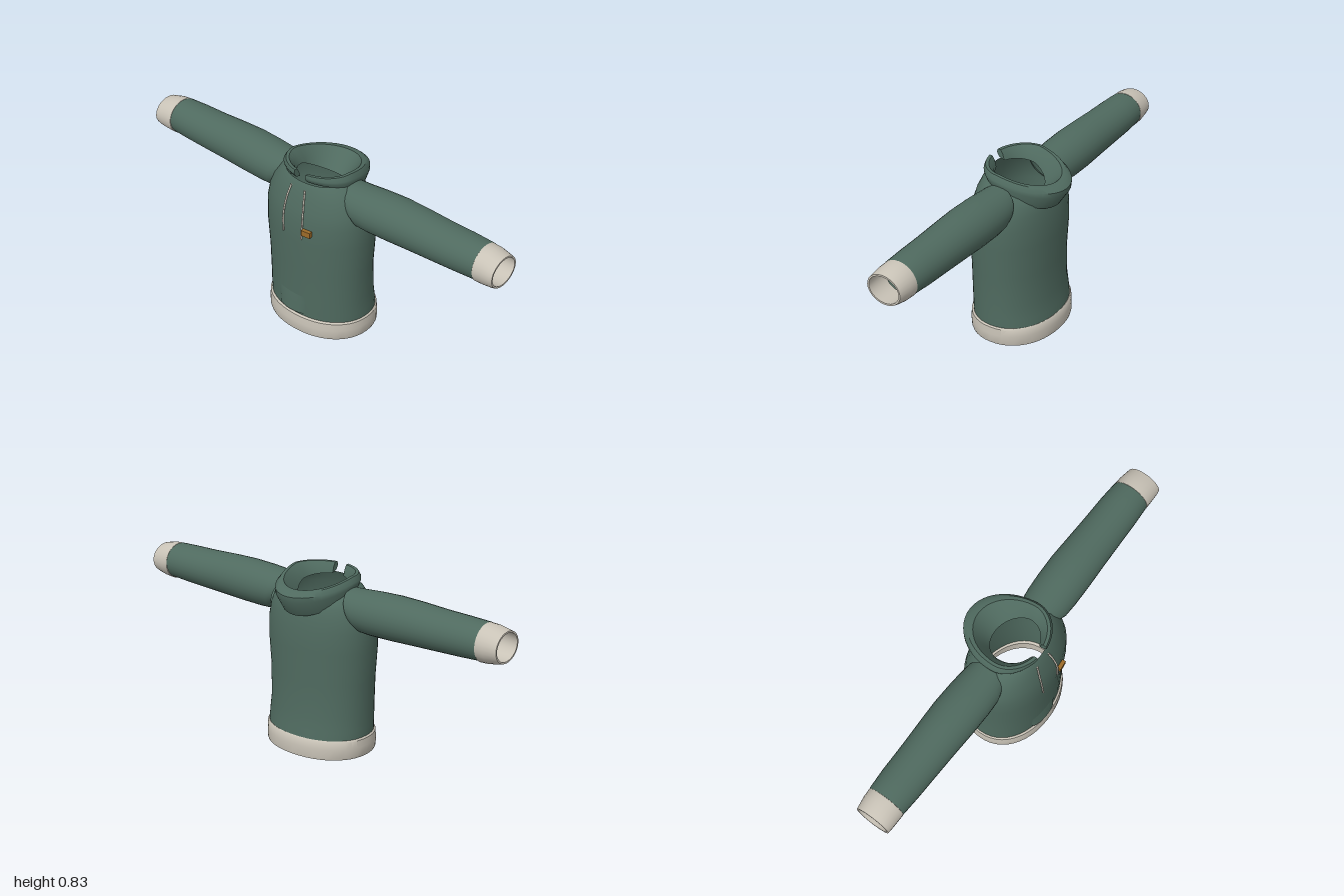
import * as THREE from 'three';
import { toCreasedNormals } from 'three/addons/utils/BufferGeometryUtils.js';

const material = (name, color) =>
  new THREE.MeshStandardMaterial({ name, color, side: THREE.DoubleSide });

// Skin a list of rings (arrays of Vector3 of equal length); crease keeps hard edges
function loft(rings, { closed = true, crease = 0 } = {}) {
  const n = rings[0].length, index = [];
  const cols = closed ? n : n - 1;
  for (let i = 0; i < rings.length - 1; i++) {
    for (let j = 0; j < cols; j++) {
      const a = i * n + j, b = i * n + (j + 1) % n;
      index.push(a, b, b + n, a, b + n, a + n);
    }
  }
  const geo = new THREE.BufferGeometry().setFromPoints(rings.flat());
  geo.setIndex(index);
  geo.computeVertexNormals();
  return crease ? toCreasedNormals(geo, crease) : geo;
}

// Torso sections: y, half width, back z, front z, drop at the nape
const TORSO = [
  [0.07, 0.262, -0.19, 0.207, 0], [0.13, 0.262, -0.182, 0.208, 0],
  [0.2, 0.259, -0.172, 0.21, 0], [0.35, 0.262, -0.166, 0.211, 0],
  [0.5, 0.272, -0.172, 0.218, 0], [0.6, 0.272, -0.168, 0.214, 0],
  [0.66, 0.262, -0.158, 0.202, 0], [0.72, 0.238, -0.15, 0.186, 0.02],
  [0.765, 0.202, -0.138, 0.168, 0.05], [0.783, 0.168, -0.11, 0.157, 0.075],
];

const power = (v, e) => Math.sign(v) * Math.abs(v) ** e;

// Slightly squared oval ring lying flat; angle 0 faces the front
function ovalPoint([y, rx, back, front, drop = 0], t, out = 0) {
  const c = Math.cos(t), mid = (front + back) / 2;
  return new THREE.Vector3(
    power(Math.sin(t), 0.93) * (rx + out),
    y - drop * Math.max(0, -c) ** 1.5,
    mid + power(c, 0.93) * ((front - back) / 2 + out));
}
const ovalRing = (section, n = 48) =>
  Array.from({ length: n }, (_, i) => ovalPoint(section, (i / n) * Math.PI * 2));

// Torso section interpolated at a height
function sectionAt(y) {
  let i = 0;
  while (i < TORSO.length - 2 && TORSO[i + 1][0] < y) i++;
  const f = (y - TORSO[i][0]) / (TORSO[i + 1][0] - TORSO[i][0]);
  return TORSO[i].map((v, k) => THREE.MathUtils.lerp(v, TORSO[i + 1][k], f));
}
function onChest(x, y, out) {
  const s = sectionAt(y);
  return ovalPoint(s, Math.asin(power(x / s[1], 1 / 0.93)), out);
}

// Sleeve ring: x, bottom y, top y, back z, front z, and slant of the armhole
const sleeveRing = (side, [x, y0, y1, z0, z1, slant = 0]) =>
  Array.from({ length: 28 }, (_, i) => {
    const t = (i / 28) * Math.PI * 2, s = Math.sin(t);
    return new THREE.Vector3(
      side * (x + slant * (1 - s) / 2),
      (y0 + y1) / 2 + s * (y1 - y0) / 2,
      (z0 + z1) / 2 + Math.cos(t) * (z1 - z0) / 2);
  });

// Lowered hood: a thick section swept round the neck, open at the throat
function hoodGeometry() {
  // each corner: front z, front y, side x, side y, back z, back y
  const corners = [
    [0.13, 0.782, 0.116, 0.765, -0.088, 0.705],
    [0.138, 0.81, 0.13, 0.8, -0.12, 0.735],
    [0.15, 0.829, 0.158, 0.831, -0.178, 0.788],
    [0.165, 0.83, 0.172, 0.83, -0.205, 0.785],
    [0.17, 0.815, 0.186, 0.808, -0.227, 0.765],
    [0.166, 0.805, 0.187, 0.795, -0.225, 0.738],
    [0.157, 0.792, 0.18, 0.772, -0.18, 0.667],
  ];
  const steps = 44, start = 0.19, zs = 0.02, rings = [];
  for (let i = 0; i <= steps; i++) {
    const t = start + (i / steps) * (Math.PI * 2 - start * 2);
    const c = Math.cos(t), w = Math.abs(c);
    rings.push(corners.map(([fz, fy, sx, sy, bz, by]) => new THREE.Vector3(
      sx * Math.sin(t),
      THREE.MathUtils.lerp(sy, c > 0 ? fy : by, w),
      zs + w * ((c > 0 ? fz : bz) - zs))));
  }
  // straight throat edges, closed by collapsing the end rings
  [[rings[0], 1], [rings[steps], -1]].forEach(([r, s]) => r.forEach(p => { p.x = 0.032 * s; }));
  const cap = ring => {
    const mid = ring.reduce((m, p) => m.add(p), new THREE.Vector3()).divideScalar(ring.length);
    return ring.map(() => mid.clone());
  };
  return loft([cap(rings[0]), ...rings, cap(rings[steps])], { crease: 0.8 });
}

export function createModel() {
  const model = new THREE.Group();
  model.name = 'hoodedPullover';
  const green = material('greenCloth', 0x4f6a5f);
  const cream = material('creamRibbing', 0xc9c3b7);
  const amber = material('amberTag', 0x9c6a28);
  const add = (name, geo, mat) => {
    const mesh = new THREE.Mesh(geo, mat);
    mesh.name = name;
    model.add(mesh);
    return mesh;
  };

  add('torso', loft(TORSO.map(s => ovalRing(s))), green);
  add('hood', hoodGeometry(), green);

  // Ribbed hem with an inner wall
  add('hem', loft([
    [0.085, 0.25, -0.178, 0.197], [0.003, 0.256, -0.186, 0.206],
    [0, 0.266, -0.198, 0.217], [0.01, 0.27, -0.2, 0.22], [0.05, 0.271, -0.199, 0.221],
    [0.085, 0.269, -0.196, 0.217], [0.092, 0.262, -0.19, 0.208], [0.085, 0.25, -0.178, 0.197],
  ].map(s => ovalRing(s)), { crease: 0.7 }), cream);

  // Sleeves and cuffs, mirrored
  for (const side of [1, -1]) {
    const name = side > 0 ? 'left' : 'right';
    add(name + 'Sleeve', loft([
      [0.175, 0.61, 0.785, -0.085, 0.105, 0.075], [0.23, 0.596, 0.787, -0.092, 0.115, 0.04],
      [0.32, 0.594, 0.794, -0.097, 0.118], [0.43, 0.597, 0.799, -0.1, 0.117],
      [0.55, 0.602, 0.797, -0.096, 0.112], [0.68, 0.607, 0.791, -0.092, 0.108],
      [0.8, 0.612, 0.789, -0.09, 0.105], [0.895, 0.617, 0.786, -0.084, 0.1],
      [0.908, 0.624, 0.779, -0.077, 0.094],
    ].map(s => sleeveRing(side, s))), green);
    add(name + 'Cuff', loft([
      [0.895, 0.624, 0.778, -0.076, 0.093], [0.9, 0.612, 0.785, -0.083, 0.1],
      [0.94, 0.614, 0.783, -0.081, 0.1], [0.985, 0.622, 0.772, -0.074, 0.099],
      [1, 0.627, 0.768, -0.071, 0.097], [1, 0.635, 0.76, -0.063, 0.089],
      [0.895, 0.63, 0.772, -0.07, 0.087],
    ].map(s => sleeveRing(side, s)), { crease: 0.7 }), cream);
  }

  // Drawstrings hanging on the chest
  const strings = {
    rightDrawstring: [[-0.042, 0.757], [-0.052, 0.7], [-0.057, 0.62], [-0.053, 0.53]],
    leftDrawstring: [[0.036, 0.757], [0.046, 0.7], [0.054, 0.62], [0.052, 0.528]],
  };
  for (const [name, points] of Object.entries(strings)) {
    const curve = new THREE.CatmullRomCurve3(points.map(([x, y]) => onChest(x, y, 0.005)));
    add(name, new THREE.TubeGeometry(curve, 24, 0.0045, 6), cream);
  }

  // Small cloth tag on the chest
  const tag = add('chestTag', new THREE.BoxGeometry(0.046, 0.028, 0.018), amber);
  tag.position.set(0.084, 0.571, 0.217);
  tag.rotation.y = 0.12;

  // Soft fold above the hem at the front
  const fold = [[0.2, 0.001], [0.17, 0.006], [0.14, 0.01], [0.106, 0.014], [0.104, -0.004]];
  add('frontFold', loft(fold.map(([y, out]) =>
    Array.from({ length: 13 }, (_, i) => {
      const edge = Math.sin((i / 12) * Math.PI) ** 0.5;
      return onChest(-0.1 + i * 0.16 / 12, y, out * edge);
    })), { closed: false, crease: 0.7 }), green);

  return model;
}
